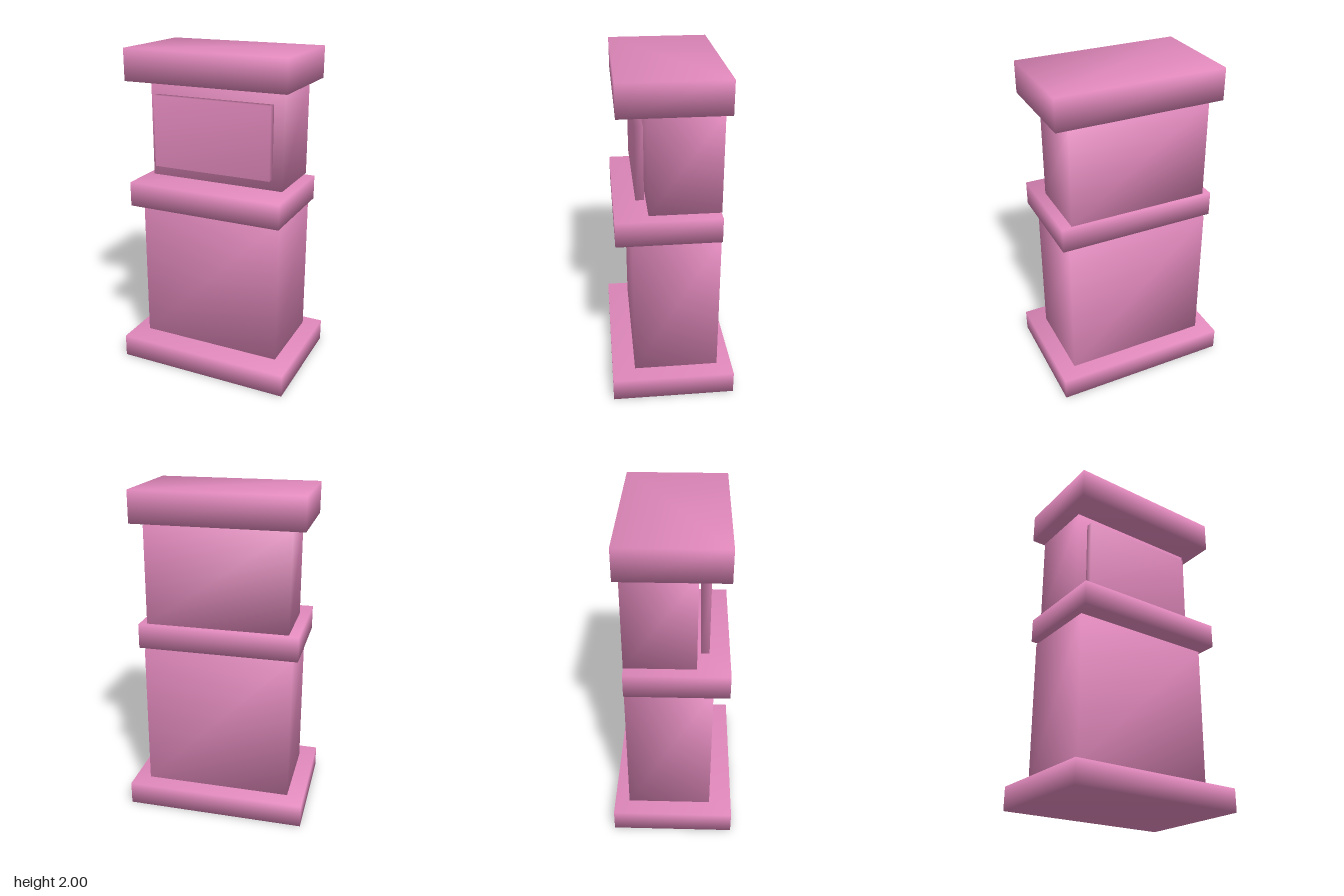
import * as THREE from 'three';
import { mergeVertices } from 'three/addons/utils/BufferGeometryUtils.js';

// Box whose faces share corners, so its shading runs smoothly round the edges
function softBox(width, height, depth) {
  const box = new THREE.BoxGeometry(width, height, depth);
  box.deleteAttribute('normal');
  box.deleteAttribute('uv');
  box.clearGroups();
  const geometry = mergeVertices(box);
  geometry.computeVertexNormals();
  return geometry;
}

export function createModel() {
  const group = new THREE.Group();
  group.name = 'steppedPillar';

  const pink = new THREE.MeshStandardMaterial({ color: 0xe088bb });
  pink.name = 'pink';

  // name, half width, bottom, top, back, front
  const parts = [
    ['basePlinth', 0.55, 0, 0.14, -0.375, 0.375],
    ['lowerBody', 0.45, 0.15, 1.04, -0.282, 0.235],
    ['middleLedge', 0.485, 1.05, 1.2, -0.282, 0.33],
    ['upperBody', 0.428, 1.21, 1.8, -0.282, 0.137],
    ['frontPanel', 0.374, 1.285, 1.72, 0.157, 0.206],
    ['topCap', 0.505, 1.81, 2, -0.307, 0.307],
  ];

  for (const [name, halfWidth, bottom, top, back, front] of parts) {
    const mesh = new THREE.Mesh(softBox(halfWidth * 2, top - bottom, front - back), pink);
    mesh.name = name;
    mesh.position.set(0, (bottom + top) / 2, (back + front) / 2);
    group.add(mesh);
  }

  return group;
}
